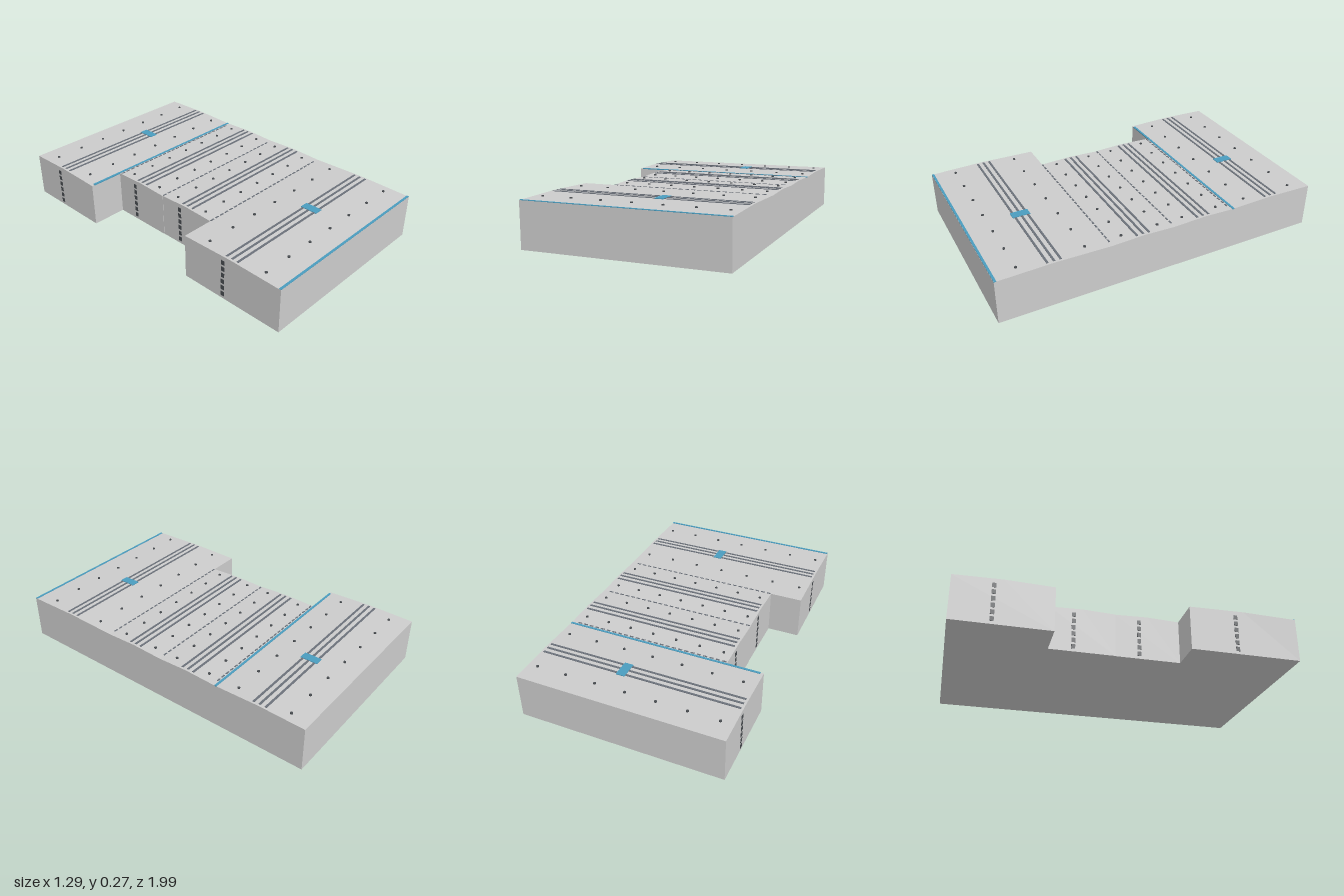
import * as THREE from 'three';

const EAVE = 0.258, RIDGE = 0.265;
const grey = new THREE.MeshStandardMaterial({ color: 0xcccccc, flatShading: true });
const steel = new THREE.MeshStandardMaterial({ color: 0x6b717a });
const dark = new THREE.MeshStandardMaterial({ color: 0x484c50 });
const blue = new THREE.MeshStandardMaterial({ color: 0x4a9cbe });

// Roof bays from back to front: z range, left wall, right wall
const bays = [
  { z0: -0.963, z1: -0.425, x0: -0.583, hatch: true },
  { z0: -0.425, z1: -0.05, x0: -0.376 },
  { z0: -0.05, z1: 0.322, x0: -0.374 },
  { z0: 0.322, z1: 0.958, x0: -0.562, hatch: true },
];
const X1 = 0.579;

function box(name, material, w, h, d, x, y, z) {
  const mesh = new THREE.Mesh(new THREE.BoxGeometry(w, h, d), material);
  mesh.name = name;
  mesh.position.set(x, y, z);
  return mesh;
}

function buildBay({ z0, z1, x0, hatch }) {
  const bay = new THREE.Group();
  bay.name = 'bay';
  const half = (z1 - z0) / 2, mid = (z0 + z1) / 2;
  const slope = Math.atan((RIDGE - EAVE) / half);
  const roofY = (dz) => RIDGE - (RIDGE - EAVE) * Math.abs(dz) / half;

  // Walls and shallow gabled roof
  const profile = new THREE.Shape([
    new THREE.Vector2(-half, 0), new THREE.Vector2(half, 0), new THREE.Vector2(half, EAVE),
    new THREE.Vector2(0, RIDGE), new THREE.Vector2(-half, EAVE),
  ]);
  const solid = new THREE.ExtrudeGeometry(profile, { depth: X1 - x0, bevelEnabled: false });
  solid.rotateY(Math.PI / 2).translate(x0, 0, mid);
  const body = new THREE.Mesh(solid, grey);
  body.name = 'hall';
  bay.add(body);

  // Ridge rail with one rail on either side
  for (const dz of [-0.036, 0, 0.036]) {
    const rail = box('roofRail', steel, X1 - x0 - 0.025, 0.006, 0.012,
      (x0 + X1) / 2, roofY(dz) - 0.0005, mid + dz);
    rail.rotation.x = Math.sign(dz) * slope;
    bay.add(rail);
  }

  // Row of roof vents on each slope
  const first = x0 < -0.5 ? -0.511 : -0.328, step = (0.523 - first) / 6;
  for (const side of [-1, 1]) {
    const dz = side * half * 0.585;
    for (let i = 0; i < 7; i++) {
      const vent = new THREE.Mesh(new THREE.CylinderGeometry(0.0075, 0.0075, 0.01, 10), dark);
      vent.name = 'roofVent';
      vent.position.set(first + i * step, roofY(dz) + 0.001, mid + dz);
      bay.add(vent);
    }
  }

  // Blue saddle over the ridge
  if (hatch) {
    for (const side of [-1, 1]) {
      const panel = box('ridgeHatch', blue, 0.05, 0.006, 0.051, 0.09, roofY(0.025) + 0.001, mid + side * 0.025);
      panel.rotation.x = side * slope;
      bay.add(panel);
    }
  }

  // Column of narrow slots on the left wall
  for (let i = 0; i < 6; i++) {
    bay.add(box('wallSlot', dark, 0.004, 0.026, 0.022, x0, 0.03 + i * 0.039, mid - 0.05));
  }
  return bay;
}

export function createModel() {
  const model = new THREE.Group();
  model.name = 'hallBlock';
  const plan = new THREE.Group();
  plan.name = 'plan';
  plan.rotation.y = 0.066;
  model.add(plan);

  bays.forEach((bay) => plan.add(buildBay(bay)));

  // Blue trims along two eaves
  for (const z of [-0.431, 0.951]) {
    const x0 = z < 0 ? -0.565 : -0.56;
    plan.add(box('eaveTrim', blue, X1 - x0, 0.006, 0.013, (x0 + X1) / 2, EAVE, z));
  }

  // Dashed gutters in the valleys
  for (const z of [-0.414, -0.05, 0.322]) {
    for (let x = -0.358; x < 0.565; x += 0.037) {
      plan.add(box('gutterDash', steel, 0.023, 0.006, 0.008, x, EAVE - 0.0005, z));
    }
  }
  return model;
}
